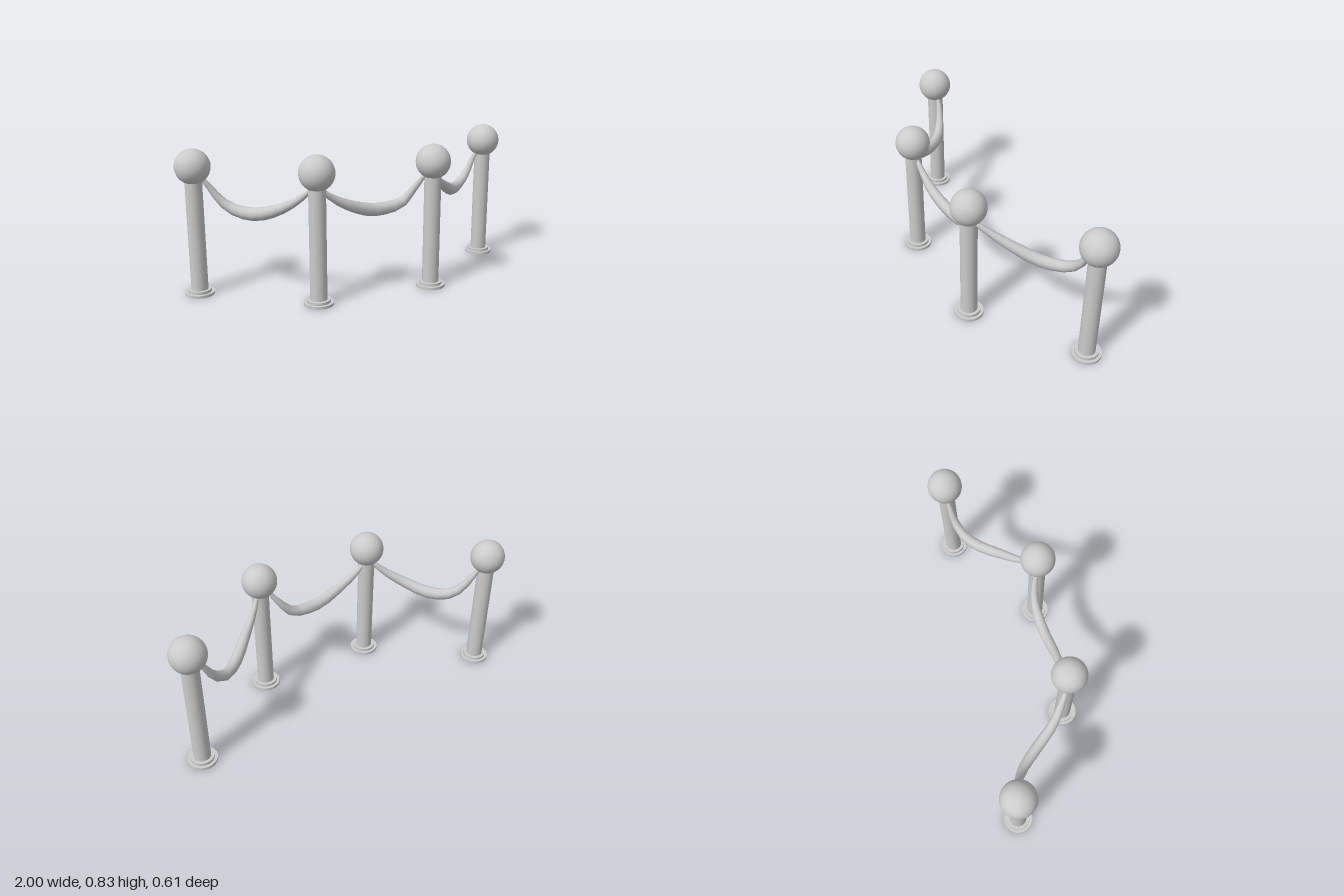
import * as THREE from 'three';

const material = new THREE.MeshStandardMaterial({ color: 0xcccccc, side: THREE.DoubleSide });

function addMesh(parent, name, geometry, y = 0) {
  const mesh = new THREE.Mesh(geometry, material);
  mesh.name = name;
  mesh.position.y = y;
  parent.add(mesh);
  return mesh;
}

// Post: two hollow stepped rings, a pole and a ball on top
function makePost(x, z) {
  const post = new THREE.Group();
  post.name = 'post';
  post.position.set(x, 0, z);
  const steps = [[0.082, 0, 0.015], [0.065, 0.015, 0.03]];
  for (const [r, y0, y1] of steps) {
    const inner = r === 0.082 ? 0.065 : 0.046;
    addMesh(post, 'baseStepSide', new THREE.CylinderGeometry(r, r, y1 - y0, 32, 1, true), (y0 + y1) / 2);
    addMesh(post, 'baseStepTop', new THREE.RingGeometry(inner, r, 32).rotateX(-Math.PI / 2), y1);
  }
  addMesh(post, 'pole', new THREE.CylinderGeometry(0.047, 0.047, 0.65, 24), 0.34);
  addMesh(post, 'ball', new THREE.SphereGeometry(0.097, 32, 20), 0.729);
  return post;
}

// Sagging rope: a tube that swells in the middle and is slightly narrower than tall
function makeRope(points) {
  const curve = new THREE.CatmullRomCurve3(points.map((p) => new THREE.Vector3(...p)));
  const rings = 12, sides = 10;
  const geometry = new THREE.TubeGeometry(curve, rings, 1, sides, false);
  const pos = geometry.attributes.position;
  const v = new THREE.Vector3();
  for (let i = 0; i < pos.count; i++) {
    const t = Math.floor(i / (sides + 1)) / rings;
    const center = curve.getPointAt(t);
    const r = 0.013 + 0.024 * Math.sin(Math.PI * t);
    v.fromBufferAttribute(pos, i).sub(center).multiply(new THREE.Vector3(0.82 * r, r, 0.82 * r)).add(center);
    pos.setXYZ(i, v.x, v.y, v.z);
  }
  return geometry;
}

export function createModel() {
  const model = new THREE.Group();
  model.name = 'ropeBarrier';

  const posts = [[-0.903, -0.208], [-0.348, 0.202], [0.334, 0.207], [0.903, -0.191]];
  for (const [x, z] of posts) model.add(makePost(x, z));

  const ropes = {
    leftHandRope: [
      [0.365, 0.64, 0.185], [0.42, 0.59, 0.125], [0.51, 0.53, 0.04], [0.61, 0.477, -0.06],
      [0.7, 0.475, -0.137], [0.775, 0.525, -0.172], [0.83, 0.615, -0.187], [0.86, 0.665, -0.19],
    ],
    middleRope: [
      [-0.325, 0.64, 0.195], [-0.27, 0.59, 0.192], [-0.16, 0.53, 0.188], [-0.02, 0.484, 0.168],
      [0.09, 0.483, 0.157], [0.17, 0.5, 0.156], [0.235, 0.57, 0.165], [0.29, 0.65, 0.19],
    ],
    rightHandRope: [
      [-0.865, 0.67, -0.205], [-0.82, 0.61, -0.195], [-0.765, 0.53, -0.168], [-0.71, 0.488, -0.13],
      [-0.63, 0.474, -0.045], [-0.53, 0.515, 0.075], [-0.435, 0.58, 0.15], [-0.375, 0.64, 0.19],
    ],
  };
  for (const [name, points] of Object.entries(ropes)) addMesh(model, name, makeRope(points));
  return model;
}
